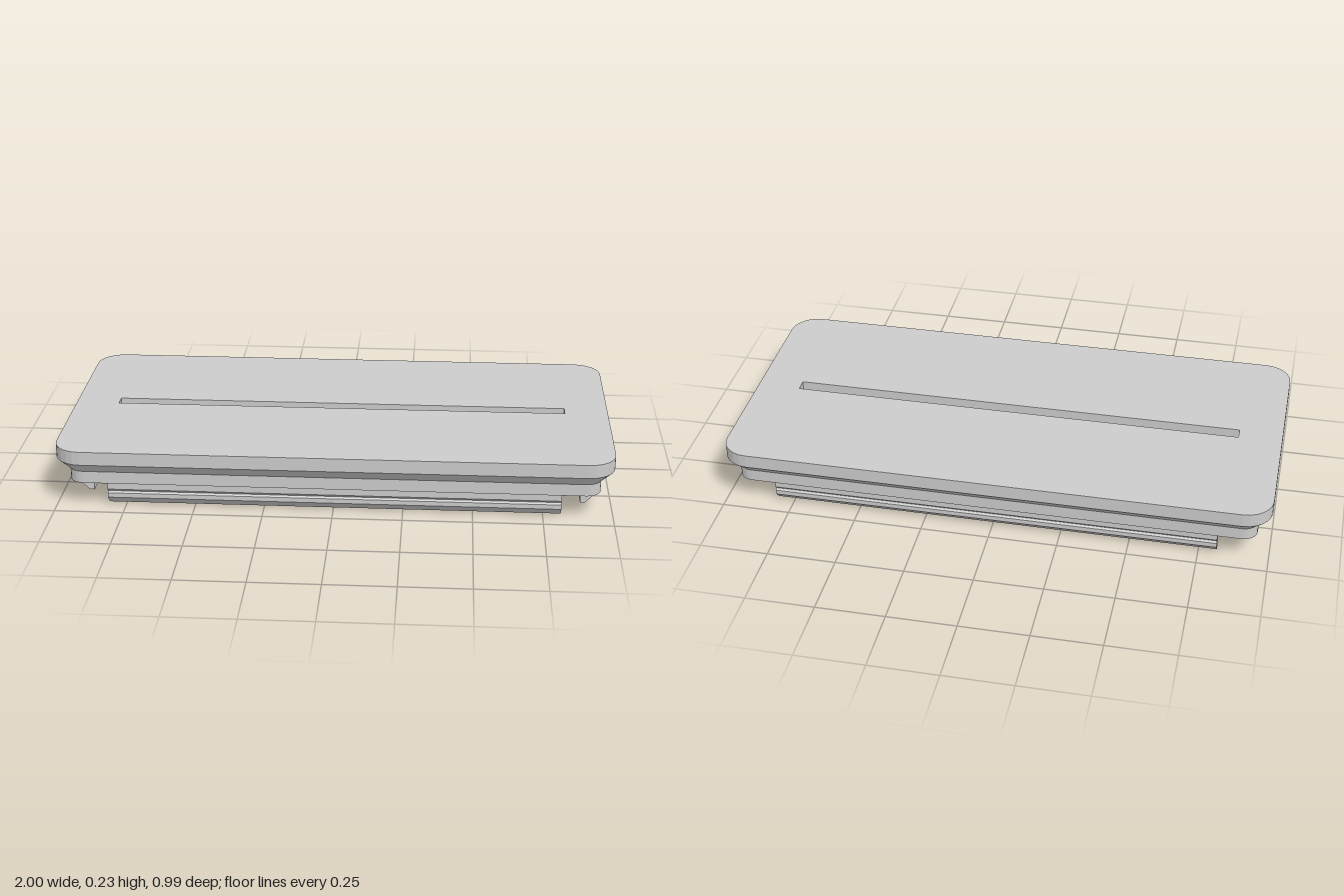
import * as THREE from 'three';

const material = new THREE.MeshStandardMaterial({ color: 0xcccccc, flatShading: true });
const CEILING = 0.18; // underside of the top plate
const SKIRT = 0.09;   // lower edge of the collar

function add(parent, name, geometry) {
  const mesh = new THREE.Mesh(geometry, material);
  mesh.name = name;
  parent.add(mesh);
  return mesh;
}

// Rounded rectangle outline, counter-clockwise, shrunk by an inset
function outline(inset, segments = 6) {
  const r = Math.max(0.1 - inset, 0.015);
  const hx = 1 - inset - r, hy = 0.496 - inset - r;
  const points = [];
  [[1, 1], [-1, 1], [-1, -1], [1, -1]].forEach(([sx, sy], corner) => {
    for (let i = 0; i <= segments; i++) {
      const a = (corner + i / segments) * Math.PI / 2;
      points.push(new THREE.Vector2(sx * hx + r * Math.cos(a), sy * hy + r * Math.sin(a)));
    }
  });
  return points;
}

// Skin through a stack of inset outlines
function loft(rings) {
  const positions = [], index = [];
  let n = 0;
  for (const [inset, y] of rings) {
    const points = outline(inset);
    n = points.length;
    points.forEach(p => positions.push(p.x, y, -p.y));
  }
  for (let k = 0; k < rings.length - 1; k++) {
    for (let i = 0; i < n; i++) {
      const a = k * n + i, b = k * n + (i + 1) % n;
      index.push(a, a + n, b, b, a + n, b + n);
    }
  }
  const g = new THREE.BufferGeometry();
  g.setAttribute('position', new THREE.Float32BufferAttribute(positions, 3));
  g.setIndex(index);
  const flat = g.toNonIndexed();
  flat.computeVertexNormals();
  return flat;
}

// Profile in (outward, height), extruded along z and centred
function bar(profile, length, offset = 0) {
  const shape = new THREE.Shape(profile.map(([u, y]) => new THREE.Vector2(u + offset, y)));
  const g = new THREE.ExtrudeGeometry(shape, { depth: length, bevelEnabled: false });
  return g.translate(0, 0, -length / 2);
}

export function createModel() {
  const model = new THREE.Group();
  model.name = 'slottedLid';

  // Top plate with the long slot
  const plate = new THREE.Shape(outline(0));
  plate.holes.push(new THREE.Path([
    [-0.84, -0.024], [-0.84, 0.024], [0.84, 0.024], [0.84, -0.024],
  ].map(([x, y]) => new THREE.Vector2(x, y))));
  const plateGeometry = new THREE.ExtrudeGeometry(plate, { depth: 0.05, bevelEnabled: false });
  plateGeometry.rotateX(-Math.PI / 2).translate(0, CEILING, 0);
  add(model, 'topPlate', plateGeometry);

  // Hollow collar: chamfer, skirt, lower edge and inner wall
  add(model, 'collar', loft([
    [0, CEILING], [0.047, 0.135], [0.047, SKIRT], [0.11, SKIRT], [0.11, CEILING],
  ]));

  // Snap clips on all four sides
  const clipProfile = [
    [0, 0], [0.018, 0], [0.047, 0.03], [0.047, 0.047], [0.039, 0.053],
    [0.047, 0.062], [0.047, SKIRT], [0, SKIRT],
  ];
  [['leftClip', 0.89, 0.62], ['backClip', 0.39, 1.63],
    ['rightClip', 0.89, 0.62], ['frontClip', 0.39, 1.63]].forEach(([name, offset, length], i) => {
    add(model, name, bar(clipProfile, length, offset)).rotation.y = i * Math.PI / 2;
  });

  // Hooked ribs either side of the slot
  const ribProfile = [
    [0.15, 0], [0.15, CEILING], [0.128, CEILING], [0.128, 0.055],
    [0.112, 0.042], [0.112, 0.03], [0.135, 0],
  ];
  [['backRib', 1], ['frontRib', -1]].forEach(([name, side]) => {
    add(model, name, bar(ribProfile, 1.42)).rotation.y = side * Math.PI / 2;
  });

  // Small gussets between the end walls and the ceiling
  const gussetProfile = [[0.89, SKIRT], [0.89, CEILING], [0.82, CEILING]];
  for (const turn of [0, Math.PI]) {
    for (const z of [-0.12, 0.12]) {
      add(model, 'endGusset', bar(gussetProfile, 0.02).translate(0, 0, z)).rotation.y = turn;
    }
  }
  return model;
}
